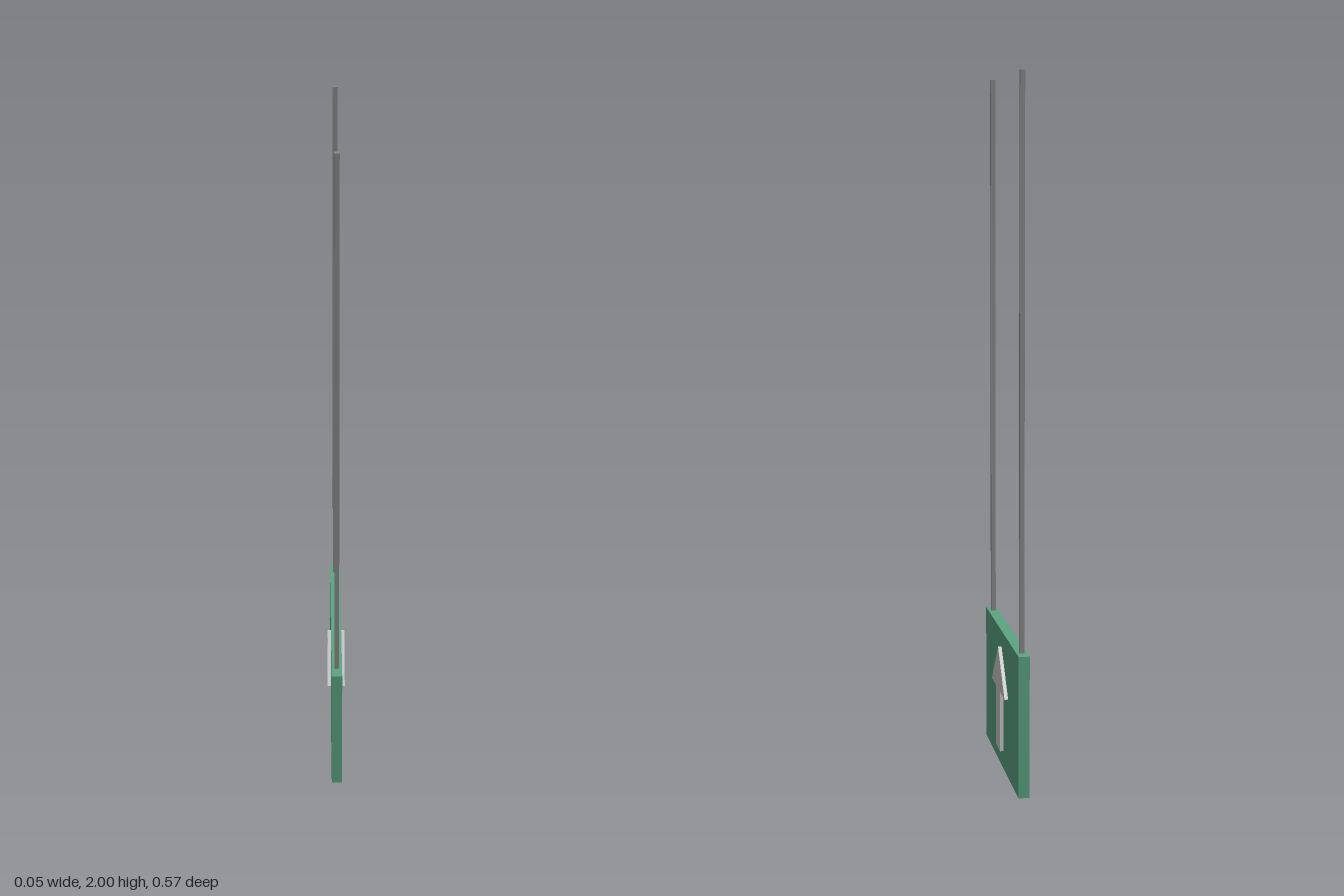
import * as THREE from 'three';

const material = (name, color) => {
  const m = new THREE.MeshStandardMaterial({ color });
  m.name = name;
  return m;
};

export function createModel() {
  const green = material('sign green', 0x5ca583);
  const pale = material('arrow pale grey', 0xc9c9c9);
  const steel = material('rod grey', 0x8a8a8a);

  const sign = new THREE.Group();
  sign.name = 'hangingSign';

  const add = (name, geometry, mat, x, y, z, parent = sign) => {
    const mesh = new THREE.Mesh(geometry, mat);
    mesh.name = name;
    mesh.position.set(x, y, z);
    parent.add(mesh);
    return mesh;
  };

  // Sign board, its broad faces turned to the sides
  const boardHalf = 0.0155, boardHeight = 0.407;
  add('board', new THREE.BoxGeometry(boardHalf * 2, boardHeight, 0.572), green, 0, boardHeight / 2, 0);

  // Raised arrow on each broad face
  const half = [[0.034, 0.053], [0.034, 0.233], [0.113, 0.233]];
  const outline = [
    ...half,
    [0, 0.36],
    ...half.map(([u, v]) => [-u, v]).reverse(),
  ].map(([u, v]) => new THREE.Vector2(u, v));
  const arrowDepth = 0.0105;
  const arrowGeometry = new THREE.ExtrudeGeometry(new THREE.Shape(outline), {
    depth: arrowDepth, bevelEnabled: false,
  });
  for (const side of [1, -1]) {
    const arrow = add(side > 0 ? 'leftArrow' : 'rightArrow', arrowGeometry, pale, side * boardHalf, 0, 0);
    arrow.rotation.y = side * Math.PI / 2;
  }

  // Hanging rods
  const rodHeight = 2 - boardHeight;
  const rodGeometry = new THREE.BoxGeometry(0.0135, rodHeight, 0.0115);
  for (const side of [1, -1]) {
    add(side > 0 ? 'frontRod' : 'backRod', rodGeometry, steel, 0, boardHeight + rodHeight / 2, side * 0.245);
  }

  return sign;
}
